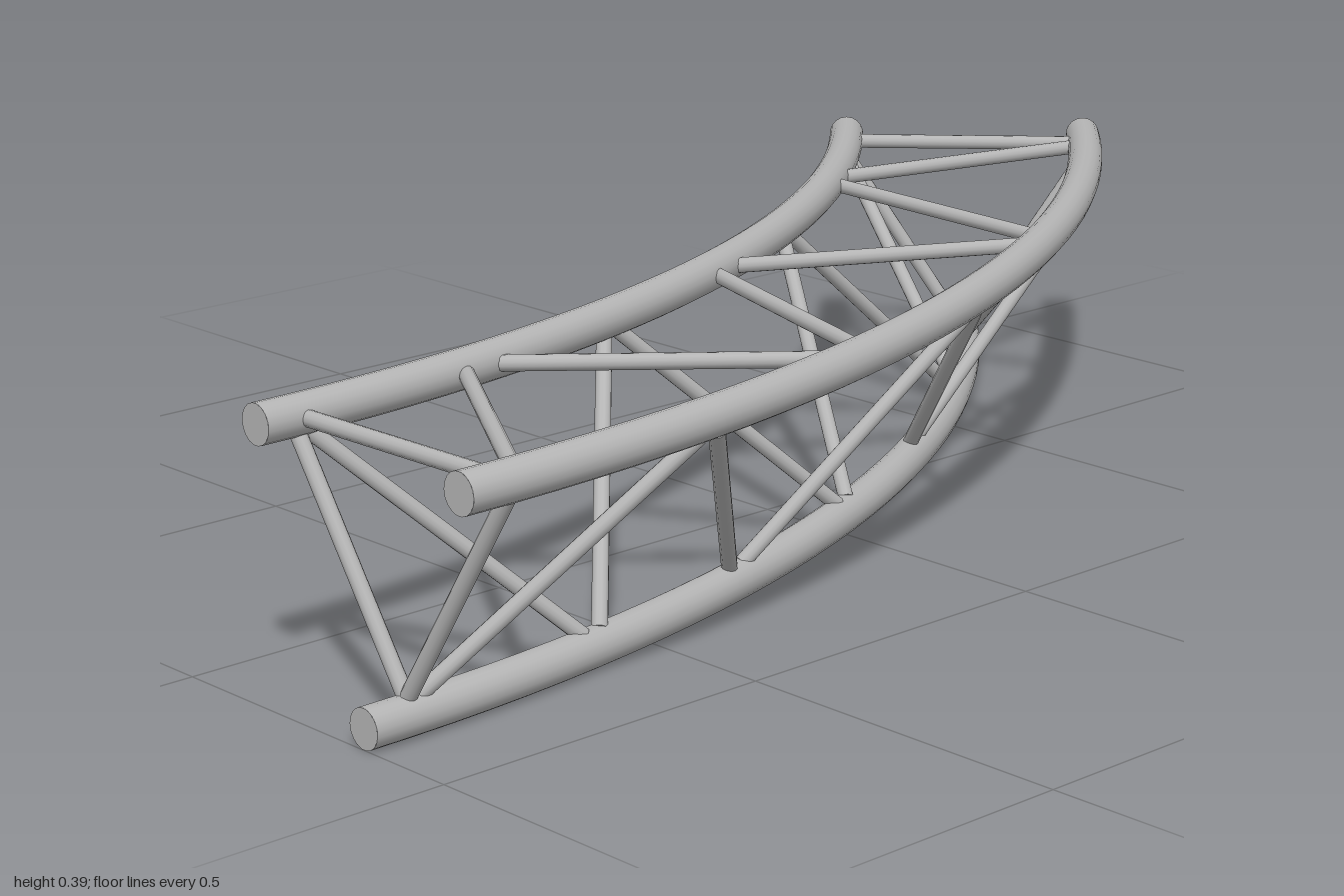
import * as THREE from 'three';

const SWEEP = Math.PI / 4;
const CENTRE_X = -2.26;
const TUBE_R = 0.027;
const BRACE_R = 0.011;

// The three chords are concentric arcs at different radii and heights
const CHORDS = {
  outer: { r: 2.8, y: 0.363 },
  inner: { r: 2.415, y: 0.363 },
  lower: { r: 2.61, y: 0.027 },
};

function pointOn(chord, t, target = new THREE.Vector3()) {
  return target.set(CENTRE_X + chord.r * Math.cos(t), chord.y, 1 - chord.r * Math.sin(t));
}

class ArcCurve extends THREE.Curve {
  constructor(chord) {
    super();
    this.chord = chord;
  }
  getPoint(u, target = new THREE.Vector3()) {
    return pointOn(this.chord, u * SWEEP, target);
  }
}

export function createModel() {
  const model = new THREE.Group();
  model.name = 'curvedTruss';
  const metal = new THREE.MeshStandardMaterial({ color: 0xb5b5b5 });
  metal.name = 'grey metal';

  // Curved main tubes with flat end caps
  for (const [name, chord] of Object.entries(CHORDS)) {
    const group = new THREE.Group();
    group.name = name + 'Chord';
    const tube = new THREE.Mesh(new THREE.TubeGeometry(new ArcCurve(chord), 32, TUBE_R, 18), metal);
    tube.name = name + 'Tube';
    group.add(tube);
    for (const [t, turn] of [[0, 0], [SWEEP, SWEEP + Math.PI]]) {
      const cap = new THREE.Mesh(new THREE.CircleGeometry(TUBE_R, 18), metal);
      cap.name = name + 'EndCap';
      pointOn(chord, t, cap.position);
      cap.rotation.y = turn;
      group.add(cap);
    }
    model.add(group);
  }

  // Straight round brace between two chords
  function addBrace(name, a, ta, b, tb) {
    const start = pointOn(a, ta);
    const end = pointOn(b, tb);
    const lift = Math.sign(b.y - a.y) * 0.02;
    start.y += lift;
    end.y -= lift;
    const dir = end.clone().sub(start);
    const mesh = new THREE.Mesh(new THREE.CylinderGeometry(BRACE_R, BRACE_R, dir.length(), 12), metal);
    mesh.name = name;
    mesh.position.copy(start).add(end).multiplyScalar(0.5);
    mesh.quaternion.setFromUnitVectors(new THREE.Vector3(0, 1, 0), dir.normalize());
    model.add(mesh);
  }

  const BAYS = 6;
  const MARGIN = 0.0255;
  const GAP = 0.006;
  const node = (i) => MARGIN + (i / BAYS) * (SWEEP - 2 * MARGIN);

  // Each face zigzags from its first chord (even nodes) to its second (odd nodes)
  const { outer, inner, lower } = CHORDS;
  const faces = [
    ['topBrace', outer, inner],
    ['outerBrace', lower, outer],
    ['innerBrace', inner, lower],
  ];
  for (const [name, even, odd] of faces) {
    for (let i = 0; i < BAYS; i++) {
      const [a, b] = i % 2 ? [odd, even] : [even, odd];
      addBrace(name, a, node(i) + GAP, b, node(i + 1) - GAP);
    }
    // Square brace closing each end
    for (const i of [0, BAYS]) addBrace(name + 'End', even, node(i), odd, node(i));
  }
  return model;
}
